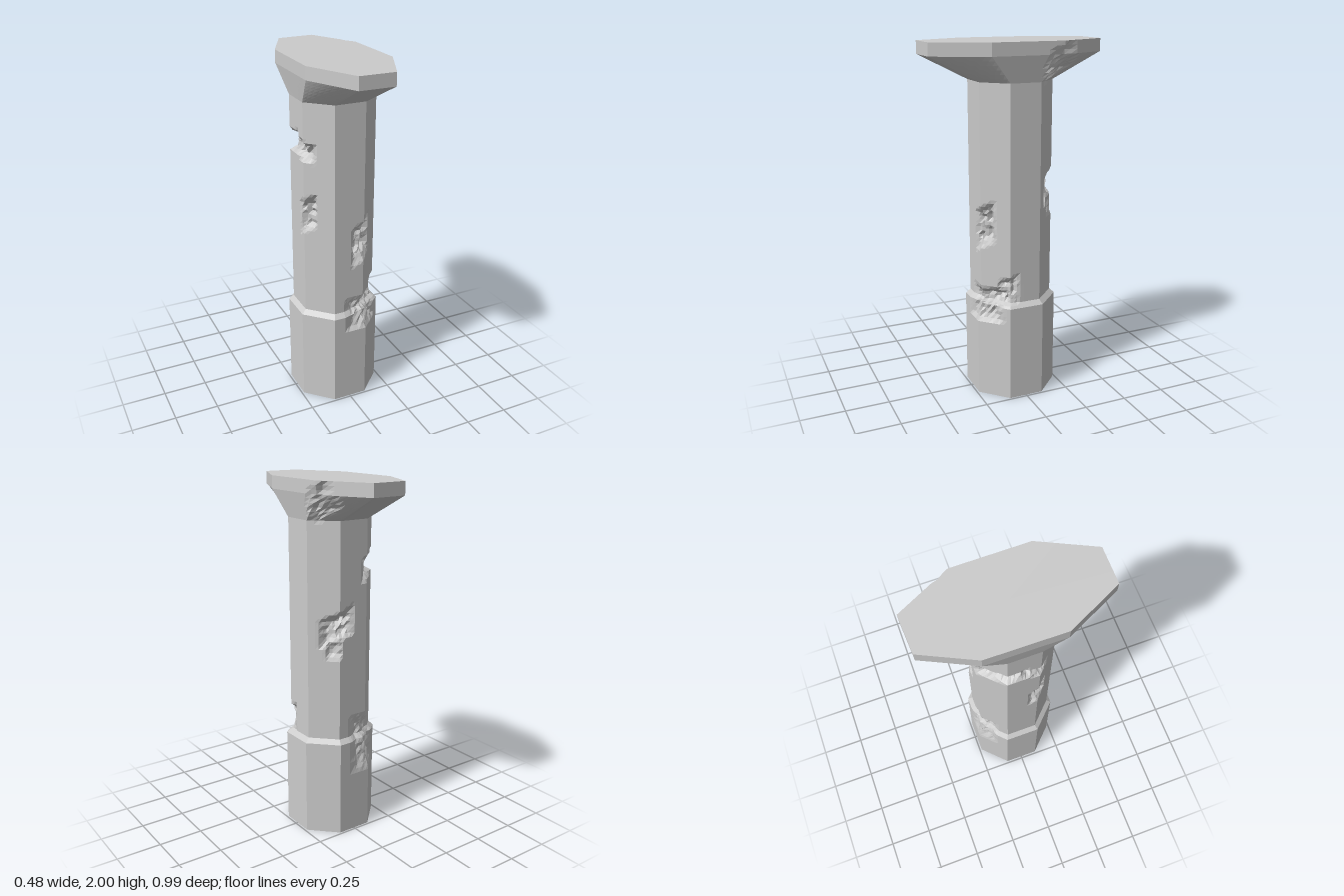
import * as THREE from 'three';

const SEG = 9; // subdivisions of each of the eight sides

// Chips in the stone: centre x, y, z, half width, half height, depth, slant
const chips = [
  [-0.19, 1.54, -0.13, 0.16, 0.06, 0.06, 0.15],
  [-0.21, 1.53, 0.06, 0.09, 0.05, 0.05, -0.2],
  [-0.2, 1.17, 0.1, 0.06, 0.10, 0.04, 0.5],
  [0.1, 1.22, -0.21, 0.11, 0.08, 0.05, 0.4],
  [0.12, 1.1, -0.2, 0.05, 0.06, 0.025, 0],
  [0.09, 1.0, 0.21, 0.08, 0.12, 0.045, 0.5],
  [0.14, 0.6, 0.16, 0.15, 0.05, 0.04, 0.15],
  [0.2, 0.66, 0.1, 0.06, 0.06, 0.035, 0.3],
  [0.11, 0.55, 0.22, 0.14, 0.10, 0.035, 0],
  [-0.1, 0.53, -0.23, 0.12, 0.17, 0.03, 0],
  [0.2, 1.9, -0.21, 0.09, 0.09, 0.03, 0.3],
];

const octagon = (r) => Array.from({ length: 8 }, (_, i) => {
  const a = (i + 0.5) * Math.PI / 4, k = r / Math.cos(Math.PI / 8);
  return [Math.sin(a) * k, Math.cos(a) * k];
});

// Repeatable roughness from a position
const noise = (x, y, z) => {
  const s = Math.sin(x * 127.1 + y * 311.7 + z * 74.7) * 43758.5;
  return s - Math.floor(s);
};

// Push a surface point towards the axis inside each chip
function chipPoint(x, y, z) {
  let cut = 0;
  const n = noise(Math.round(x * 40), Math.round(y * 40), Math.round(z * 40));
  for (const [cx, cy, cz, w, h, depth, slant] of chips) {
    const side = Math.hypot(x - cx, z - cz);
    const along = (x - cx) * cz - (z - cz) * cx > 0 ? side : -side;
    const f = 1 - Math.max(side / w, Math.abs(y - cy - along * slant) / h);
    if (f > 0) cut = Math.max(cut, depth * Math.min(1, f * 2) * (0.55 + 0.6 * n));
  }
  const k = 1 - cut / Math.hypot(x, z);
  return [x * k, y, z * k];
}

// Loft through sections [height, outline, rows up to the next section]
function loft(name, sections, cap) {
  const pos = [], index = [], n = 8 * SEG;
  let rings = 0;
  const addRing = (y, outline) => {
    for (let i = 0; i < 8; i++) {
      const p = outline[i], q = outline[(i + 1) % 8];
      for (let s = 0; s < SEG; s++) {
        const t = s / SEG;
        pos.push(...chipPoint(p[0] + (q[0] - p[0]) * t, y, p[1] + (q[1] - p[1]) * t));
      }
    }
    rings++;
  };
  sections.forEach(([y, outline, rows], k) => {
    if (k === sections.length - 1) return addRing(y, outline);
    const [y2, next] = sections[k + 1];
    for (let r = 0; r < rows; r++) {
      const t = r / rows;
      addRing(y + (y2 - y) * t, outline.map((p, i) =>
        [p[0] + (next[i][0] - p[0]) * t, p[1] + (next[i][1] - p[1]) * t]));
    }
  });
  for (let r = 0; r < rings - 1; r++) {
    for (let i = 0; i < n; i++) {
      const a = r * n + i, b = r * n + (i + 1) % n;
      index.push(a, b, b + n, a, b + n, a + n);
    }
  }
  // Flat end
  const centre = pos.length / 3;
  if (cap === 'top') {
    pos.push(0, sections.at(-1)[0], 0);
    const o = (rings - 1) * n;
    for (let i = 0; i < n; i++) index.push(centre, o + i, o + (i + 1) % n);
  } else if (cap === 'bottom') {
    pos.push(0, sections[0][0], 0);
    for (let i = 0; i < n; i++) index.push(centre, (i + 1) % n, i);
  }
  const geo = new THREE.BufferGeometry();
  geo.setAttribute('position', new THREE.Float32BufferAttribute(pos, 3));
  geo.setIndex(index);
  geo.computeVertexNormals();
  const mesh = new THREE.Mesh(geo,
    new THREE.MeshStandardMaterial({ color: 0xcccccc, flatShading: true }));
  mesh.name = name;
  return mesh;
}

export function createModel() {
  const group = new THREE.Group();
  group.name = 'chippedColumn';
  const shaft = octagon(0.213), base = octagon(0.238);
  // Long bracket-shaped head, stretched front to back
  const head = [[0.1, 0.49], [0.24, 0.2], [0.24, -0.21], [0.1, -0.495],
    [-0.105, -0.485], [-0.235, -0.215], [-0.24, 0.2], [-0.1, 0.49]];

  group.add(
    // Plinth with a bevelled shoulder
    loft('base', [[0, base, 22], [0.55, base, 2], [0.575, shaft, 0]], 'bottom'),
    loft('shaft', [[0.575, shaft, 56], [1.79, shaft, 0]]),
    loft('capital', [[1.79, shaft, 6], [1.93, head, 3], [2, head, 0]], 'top'),
  );
  return group;
}
